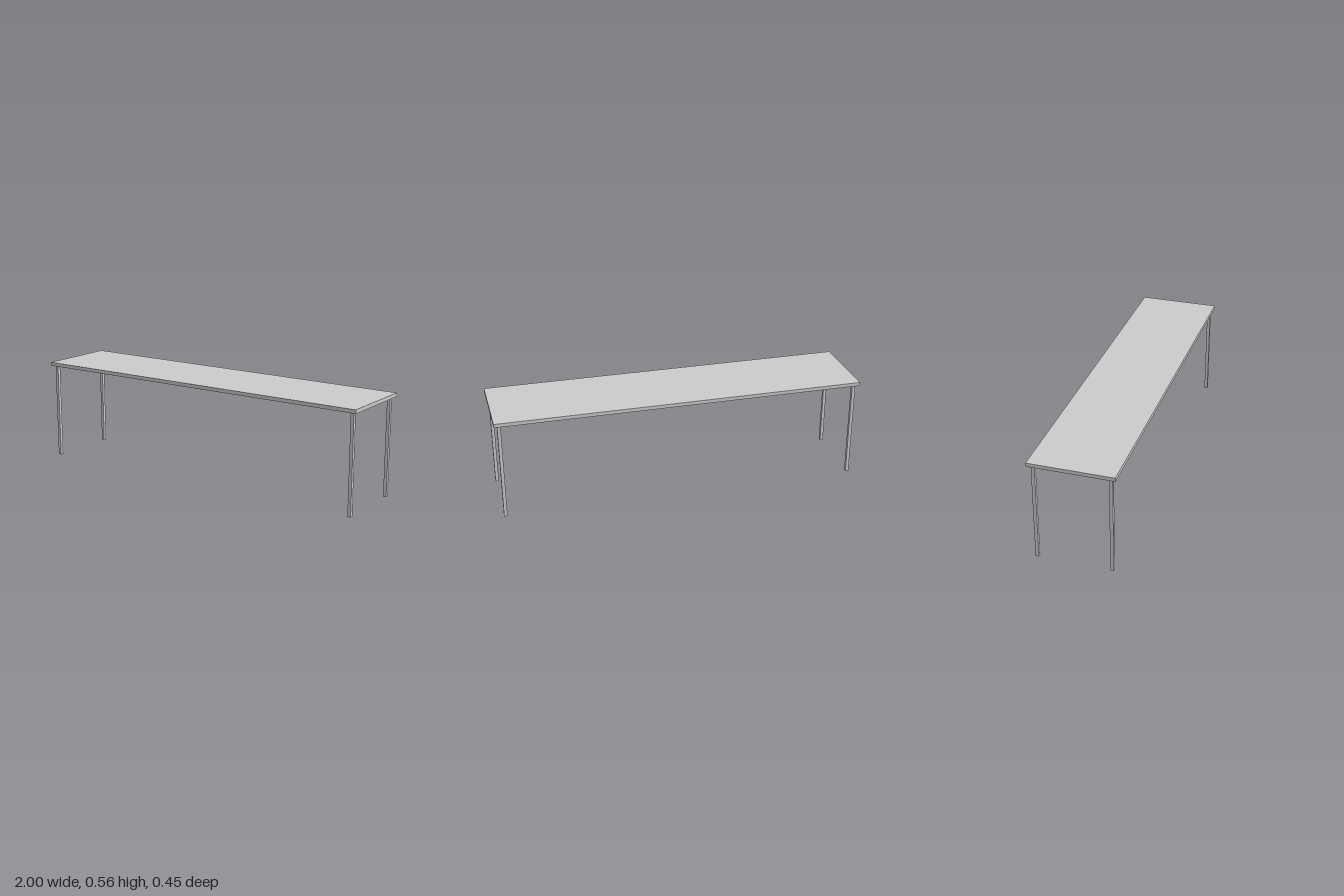
import * as THREE from 'three';

export function createModel() {
  const group = new THREE.Group();
  const material = new THREE.MeshStandardMaterial({ color: 0xcccccc });

  const width = 2, depth = 0.447, height = 0.559, thickness = 0.02;
  const legSize = 0.018, inset = 0.0185;
  const legHeight = height - thickness;

  const addBox = (name, w, h, d, x, y, z) => {
    const mesh = new THREE.Mesh(new THREE.BoxGeometry(w, h, d), material);
    mesh.name = name;
    mesh.position.set(x, y, z);
    group.add(mesh);
  };

  // Thin rectangular top
  addBox('tableTop', width, thickness, depth, 0, height - thickness / 2, 0);

  // Four square legs, set in slightly from the corners
  const legX = width / 2 - inset - legSize / 2;
  const legZ = depth / 2 - inset - legSize / 2;
  for (const [side, sx] of [['Left', 1], ['Right', -1]]) {
    for (const [end, sz] of [['front', 1], ['back', -1]]) {
      addBox(`${end}${side}Leg`, legSize, legHeight, legSize, sx * legX, legHeight / 2, sz * legZ);
    }
  }

  return group;
}
